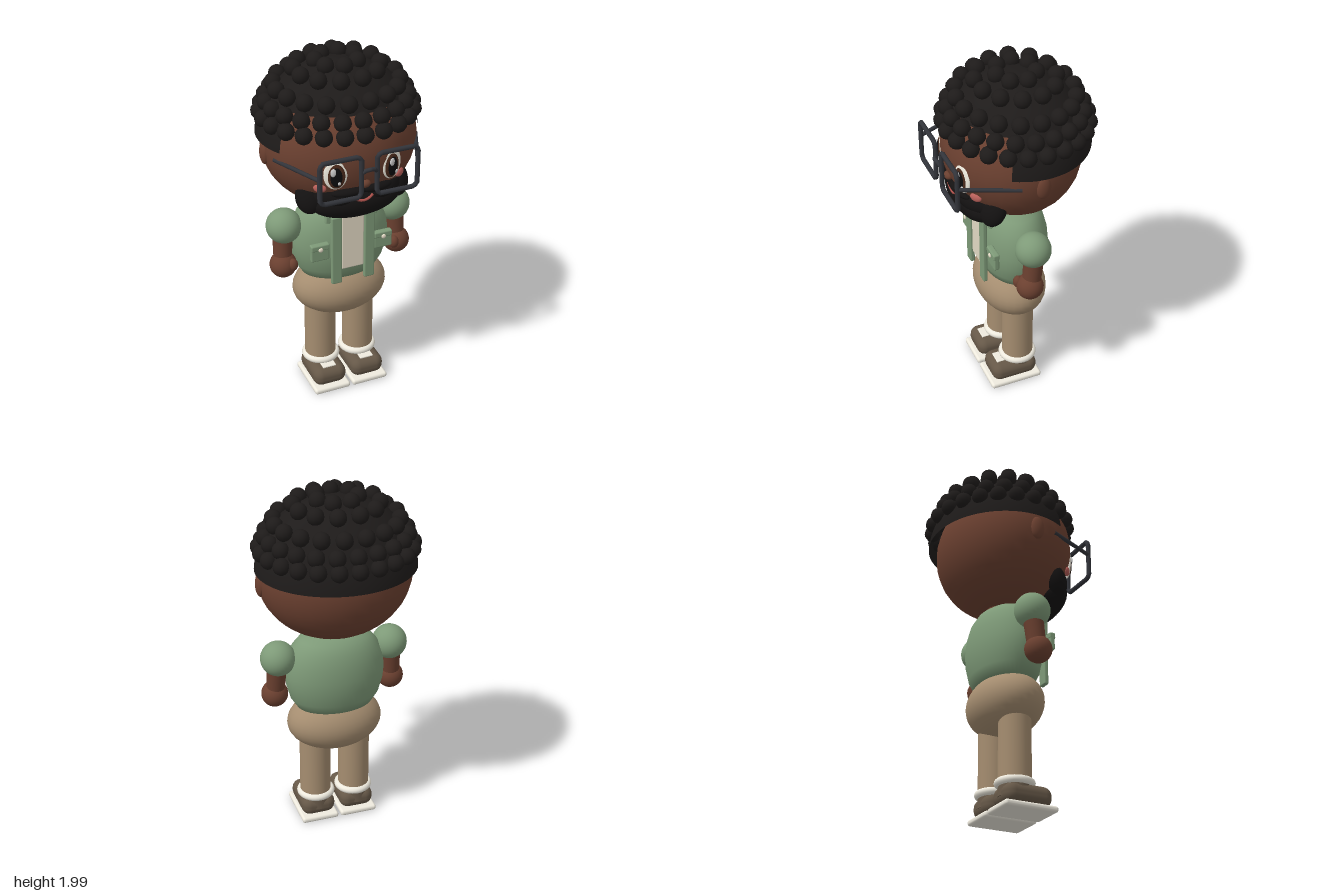
import * as THREE from 'three';
import { RoundedBoxGeometry } from 'three/addons/geometries/RoundedBoxGeometry.js';

const mat = (color) => new THREE.MeshStandardMaterial({ color });
const M = {
  skin: mat(0x6b4030), hair: mat(0x1e1b1a), beard: mat(0x141212), shirt: mat(0x7e9a78),
  pants: mat(0xa58d70), shoe: mat(0x665848), white: mat(0xeeeade), cream: mat(0xe2d9c4),
  frame: mat(0x32343a), iris: mat(0x4a2a1c), black: mat(0x0c0c0e), shine: mat(0xf4f4f4),
  blush: mat(0xb9605a), lip: mat(0xb0524c),
};
M.cap = mat(0x1e1b1a);
M.cap.side = THREE.DoubleSide;

export function createModel() {
  const model = new THREE.Group();
  const add = (name, geo, material, x = 0, y = 0, z = 0, parent = model) => {
    const mesh = new THREE.Mesh(geo, material);
    mesh.name = name;
    mesh.position.set(x, y, z);
    parent.add(mesh);
    return mesh;
  };
  const ball = (name, material, x, y, z, rx, ry = rx, rz = rx, parent = model) => {
    const mesh = add(name, new THREE.SphereGeometry(1, 32, 20), material, x, y, z, parent);
    mesh.scale.set(rx, ry, rz);
    return mesh;
  };
  const box = (name, material, w, h, d, x, y, z, r = 0.008) =>
    add(name, new RoundedBoxGeometry(w, h, d, 3, r), material, x, y, z);
  const tube = (name, pts, r, closed = false) => {
    const path = new THREE.CurvePath();
    const v = pts.map((p) => new THREE.Vector3(...p));
    if (closed) v.push(v[0].clone());
    for (let i = 0; i < v.length - 1; i++) path.add(new THREE.LineCurve3(v[i], v[i + 1]));
    return add(name, new THREE.TubeGeometry(path, 48, r, 10, closed), M.frame);
  };

  // Head and neck
  ball('head', M.skin, 0, 1.53, 0.005, 0.42, 0.365, 0.365);
  add('neck', new THREE.CylinderGeometry(0.09, 0.09, 0.12, 24), M.skin, 0, 1.17, 0);
  ball('nose', M.skin, 0, 1.415, 0.355, 0.03, 0.022, 0.022);

  // Hair: crown cap, lower back shell and rings of curls
  const HY = 1.54, HZ = -0.02;
  const crown = add('hairCrown', new THREE.SphereGeometry(1, 48, 16, 0, Math.PI * 2, 0, 0.96), M.cap, 0, HY, HZ);
  const back = add('hairBack', new THREE.SphereGeometry(1, 48, 16, Math.PI - 0.48, Math.PI + 0.96, 0.9, 0.6), M.cap, 0, HY, HZ);
  for (const m of [crown, back]) m.scale.set(0.435, 0.41, 0.39);
  const curls = new THREE.Group();
  curls.name = 'curls';
  model.add(curls);
  const curlGeo = new THREE.SphereGeometry(0.046, 12, 8);
  const rings = [[7, 0.112, 1.95, 0], [12, 0.225, 1.915, 0.5], [18, 0.33, 1.832, 0.5], [22, 0.375, 1.755, 0], [24, 0.405, 1.688, 0]];
  for (const [n, r, y, shift] of rings) {
    for (let i = 0; i < n; i++) {
      const a = ((i + shift) / n) * Math.PI * 2;
      add('curl', curlGeo, M.hair, r * Math.sin(a), y, HZ + r * 0.92 * Math.cos(a), curls);
    }
  }

  // Beard and smile
  ball('chinBeard', M.beard, 0, 1.275, 0.235, 0.25, 0.1, 0.11);
  const smile = add('mouth', new THREE.TorusGeometry(0.062, 0.007, 8, 24, 2.0), M.lip, 0, 1.37, 0.338);
  smile.rotation.z = -Math.PI / 2 - 1.0;

  for (const s of [1, -1]) {
    // Beard sides, moustache and blush
    const side = ball('sideBeard', M.beard, s * 0.245, 1.318, 0.205, 0.075, 0.095, 0.055);
    side.rotation.set(-0.4, s * 0.5, s * 0.1);
    const tash = ball('moustache', M.beard, s * 0.075, 1.37, 0.325, 0.095, 0.026, 0.035);
    tash.rotation.set(0, s * 0.2, s * -0.08);
    ball('cheekBeard', M.beard, s * 0.15, 1.325, 0.26, 0.12, 0.065, 0.06).rotation.y = s * 0.5;
    ball('blush', M.blush, s * 0.222, 1.402, 0.29, 0.034, 0.024, 0.015).rotation.y = s * 0.6;
    ball('ear', M.skin, s * 0.41, 1.505, 0, 0.025, 0.066, 0.04);

    // Eye, layered from white to highlights
    const eye = new THREE.Group();
    eye.name = 'eye';
    eye.position.set(s * 0.155, 1.488, 0.335);
    eye.rotation.y = s * 0.3;
    model.add(eye);
    ball('eyeWhite', M.white, 0, 0, 0, 0.061, 0.084, 0.014, eye);
    ball('iris', M.iris, -s * 0.004, -0.006, 0.006, 0.046, 0.07, 0.013, eye);
    ball('pupil', M.black, -s * 0.004, -0.008, 0.011, 0.033, 0.056, 0.012, eye);
    ball('eyeShine', M.shine, -0.012, 0.02, 0.019, 0.015, 0.023, 0.007, eye);
    ball('eyeShineSmall', M.shine, 0.018, -0.042, 0.018, 0.009, 0.011, 0.005, eye);

    // Glasses rim and temple
    const x0 = 0.043, x1 = 0.268, y0 = 1.372, y1 = 1.602, c = 0.018;
    tube('glassesRim', [
      [x0 + c, y0], [x1 - c, y0], [x1, y0 + c], [x1, y1 - c],
      [x1 - c, y1], [x0 + c, y1], [x0, y1 - c], [x0, y0 + c],
    ].map(([x, y]) => [s * x, y, 0.405]), 0.013, true);
    tube('glassesTemple', [[s * 0.268, 1.512, 0.405], [s * 0.398, 1.512, 0.11]], 0.011);

    // Sleeve, arm and hand
    ball('sleeve', M.shirt, s * 0.32, 1.05, 0.012, 0.097);
    const arm = add('forearm', new THREE.CylinderGeometry(0.055, 0.05, 0.17, 24), M.skin, s * 0.332, 0.92, 0.02);
    arm.rotation.set(-0.1, 0, s * 0.04);
    ball('hand', M.skin, s * 0.337, 0.824, 0.036, 0.074);
    ball('thumb', M.skin, s * 0.3, 0.842, 0.09, 0.027, 0.036, 0.027);

    // Jacket edge, collar, pocket and button
    box('jacketEdge', M.shirt, 0.06, 0.415, 0.026, s * 0.095, 0.95, 0.205);
    box('collar', M.shirt, 0.07, 0.085, 0.024, s * 0.112, 1.155, 0.178).rotation.z = s * 0.08;
    box('pocket', M.shirt, 0.105, 0.1, 0.03, s * 0.183, 0.948, 0.183);
    box('pocketFlap', M.shirt, 0.105, 0.035, 0.036, s * 0.183, 0.98, 0.184);
    ball('button', M.cream, s * 0.183, 0.97, 0.203, 0.013, 0.013, 0.008);

    // Leg, sock cuff and shoe
    add('leg', new THREE.CylinderGeometry(0.088, 0.088, 0.42, 32), M.pants, s * 0.115, 0.35, 0.013);
    add('sock', new THREE.TorusGeometry(0.087, 0.021, 12, 36), M.white, s * 0.113, 0.155, 0.013).rotation.x = Math.PI / 2;
    box('shoe', M.shoe, 0.196, 0.112, 0.27, s * 0.115, 0.085, 0.057, 0.05);
    add('shoeAnkle', new THREE.CylinderGeometry(0.085, 0.095, 0.08, 28), M.shoe, s * 0.115, 0.115, 0.013);
    box('shoeTongue', M.white, 0.08, 0.014, 0.07, s * 0.115, 0.139, 0.12, 0.004);
    box('sole', M.white, 0.215, 0.034, 0.305, s * 0.115, 0.019, 0.058, 0.015);
  }

  // Glasses bridge
  tube('glassesBridge', [[-0.043, 1.505, 0.405], [-0.022, 1.525, 0.418], [0, 1.53, 0.424], [0.022, 1.525, 0.418], [0.043, 1.505, 0.405]], 0.011);

  // Torso, shirt front and hips
  const profile = [[0, 0.73], [0.215, 0.732], [0.252, 0.79], [0.274, 0.87], [0.28, 0.94], [0.27, 1.02],
    [0.243, 1.09], [0.2, 1.14], [0.14, 1.17], [0, 1.185]];
  const torso = add('jacketBody', new THREE.LatheGeometry(profile.map((p) => new THREE.Vector2(...p)), 48), M.shirt, 0, 0, 0.01);
  torso.scale.z = 0.685;
  box('shirtFront', M.cream, 0.13, 0.345, 0.03, 0, 0.993, 0.193);
  ball('hips', M.pants, 0, 0.62, 0.016, 0.27, 0.17, 0.193);

  return model;
}
